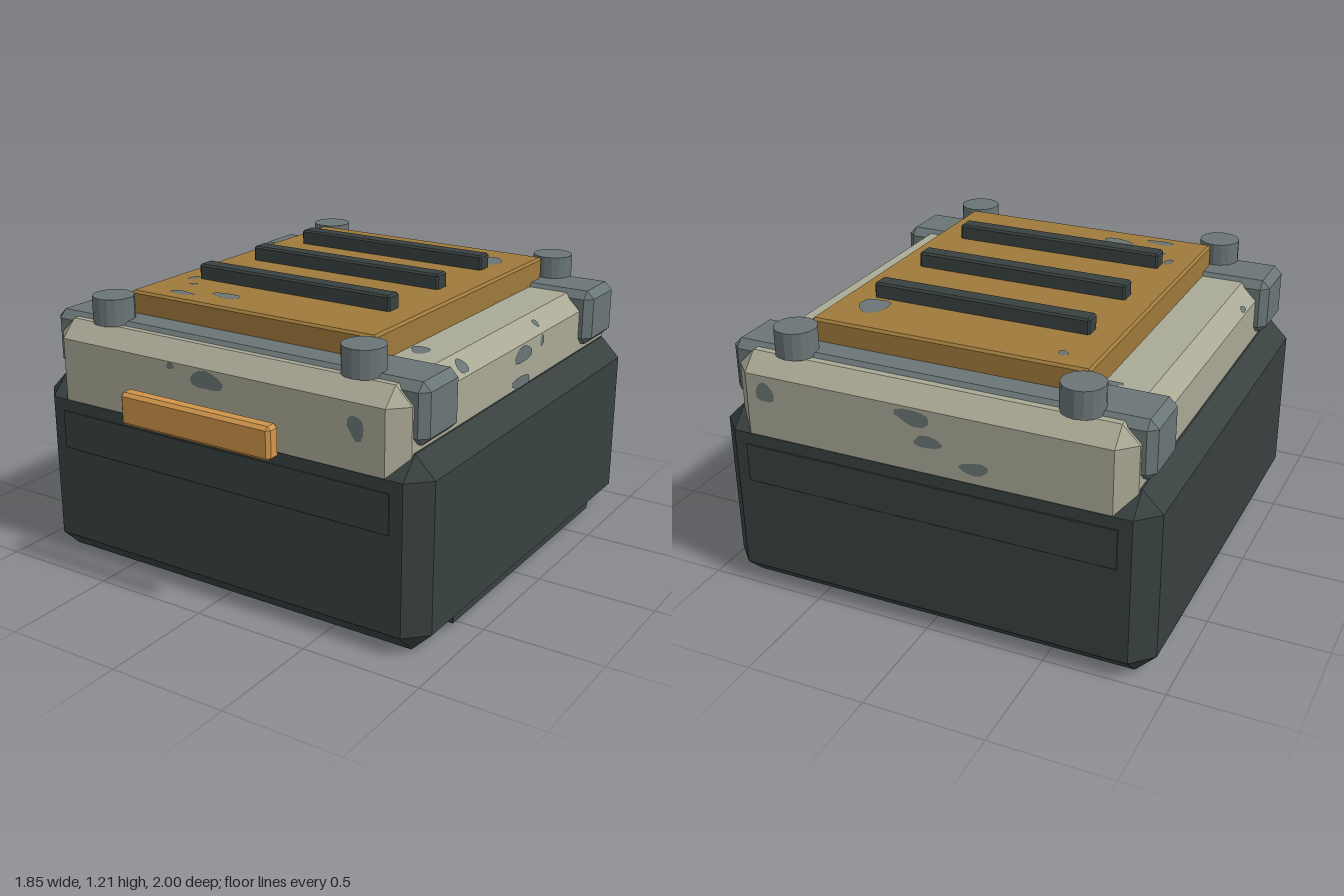
import * as THREE from 'three';
import { ConvexGeometry } from 'three/addons/geometries/ConvexGeometry.js';

const makeMat = (name, color, extra = {}) => {
  const m = new THREE.MeshStandardMaterial({ color, ...extra });
  m.name = name;
  return m;
};

// Box given by its limits, with all edges and corners chamfered by c
function chamferBox([x0, x1], [y0, y1], [z0, z1], c) {
  const w = (x1 - x0) / 2, h = (y1 - y0) / 2, d = (z1 - z0) / 2;
  const pts = [];
  for (const sx of [-1, 1]) for (const sy of [-1, 1]) for (const sz of [-1, 1]) {
    pts.push(new THREE.Vector3(sx * w, sy * (h - c), sz * (d - c)));
    pts.push(new THREE.Vector3(sx * (w - c), sy * h, sz * (d - c)));
    pts.push(new THREE.Vector3(sx * (w - c), sy * (h - c), sz * d));
  }
  return new ConvexGeometry(pts).translate((x0 + x1) / 2, (y0 + y1) / 2, (z0 + z1) / 2);
}

// Flat irregular blot with radii rx, ry, facing +z
function blot(rx, ry, seed) {
  const pts = [];
  for (let i = 0; i < 12; i++) {
    const a = (i / 12) * Math.PI * 2;
    const r = 0.93 + 0.13 * Math.sin(2 * a + seed * 1.7) + 0.1 * Math.sin(3 * a + seed * 2.9);
    pts.push(new THREE.Vector2(Math.cos(a) * rx * r, Math.sin(a) * ry * r));
  }
  return new THREE.ShapeGeometry(new THREE.Shape(pts));
}

export function createModel() {
  const model = new THREE.Group();
  model.name = 'crate';
  const charcoal = makeMat('charcoal', 0x384040);
  const cream = makeMat('weathered cream', 0xaaa996);
  const steel = makeMat('steel grey', 0x6a7576);
  const ochre = makeMat('dark ochre', 0x9e793b);
  const orange = makeMat('orange', 0xd0954a);

  const add = (name, geometry, material) => {
    const mesh = new THREE.Mesh(geometry, material);
    mesh.name = name;
    model.add(mesh);
    return mesh;
  };
  const box = (name, xs, ys, zs, c, material) => add(name, chamferBox(xs, ys, zs, c), material);

  // Lower body and lid
  box('body', [-0.927, 0.927], [0, 0.79], [-0.993, 0.867], 0.085, charcoal);
  box('lid', [-0.835, 0.835], [0.56, 1.04], [-0.992, 0.866], 0.07, cream);

  // Recess-style plates on front and back
  for (const [name, z] of [['frontPlate', 0.868], ['backPlate', -0.995]]) {
    box(name, [-0.788, 0.788], [0.49, 0.655], [z - 0.004, z + 0.004], 0.001, charcoal);
  }

  // Skid strips along the lower side edges
  for (const s of [-1, 1]) {
    box('skidStrip', [s * 0.89 - 0.018, s * 0.89 + 0.018], [0.034, 0.066], [-0.7, 0.58], 0.002, charcoal);
  }

  // Bands across the lid
  for (const z of [-0.778, 0.655]) {
    box('band', [-0.885, 0.885], [0.815, 1.056], [z - 0.132, z + 0.132], 0.033, steel);
  }

  // Corner bolts
  for (const x of [-0.597, 0.597]) for (const z of [-0.87, 0.738]) {
    const geo = new THREE.CylinderGeometry(0.086, 0.086, 0.112, 16).toNonIndexed();
    geo.computeVertexNormals();
    add('bolt', geo, steel).position.set(x, 1.094, z);
  }

  // Top hatch with three grip ribs
  box('hatch', [-0.585, 0.585], [1.03, 1.15], [-0.78, 0.645], 0.01, ochre);
  for (const z of [-0.455, -0.077, 0.308]) {
    box('rib', [-0.465, 0.465], [1.14, 1.213], [z - 0.039, z + 0.039], 0.008, charcoal);
  }

  // Front handle bar
  box('handle', [-0.356, 0.356], [0.72, 0.856], [0.933, 1], 0.014, orange);

  // Worn paint: each entry is u, v, radius u, radius v
  const E = 0.003;
  const faces = {
    front: {
      place: (m, u, v) => m.position.set(u, v, 0.866 + E),
      spots: [[-0.03, 0.925, 0.075, 0.045], [0.645, 0.875, 0.038, 0.05],
        [-0.205, 0.955, 0.022, 0.014], [-0.22, 0.712, 0.065, 0.018]],
    },
    back: {
      place: (m, u, v) => { m.position.set(u, v, -0.992 - E); m.rotation.y = Math.PI; },
      spots: [[0.68, 0.9, 0.04, 0.05], [0.03, 0.93, 0.08, 0.035],
        [-0.03, 0.84, 0.07, 0.025], [-0.22, 0.77, 0.06, 0.03]],
    },
    right: {
      place: (m, u, v) => { m.position.set(0.835 + E, v, u); m.rotation.y = Math.PI / 2; },
      spots: [[-0.09, 0.925, 0.075, 0.042], [-0.08, 0.81, 0.09, 0.03], [-0.265, 0.94, 0.02, 0.024]],
    },
    rightBevel: {
      place: (m, u, v) => {
        m.rotation.set(0, Math.PI / 2, 0);
        m.rotateX(-Math.PI / 4);
        m.position.set(1.805 - v + E, v + E, u);
      },
      spots: [[0.385, 1.0, 0.033, 0.04], [-0.265, 1.005, 0.02, 0.02]],
    },
    leftBevel: {
      place: (m, u, v) => {
        m.rotation.set(0, -Math.PI / 2, 0);
        m.rotateX(-Math.PI / 4);
        m.position.set(-1.805 + v - E, v + E, u);
      },
      spots: [[0.37, 0.985, 0.025, 0.018]],
    },
    lidTop: {
      place: (m, u, v) => { m.position.set(u, 1.04 + E, v); m.rotation.x = -Math.PI / 2; },
      spots: [[-0.62, -0.635, 0.04, 0.022], [0.64, 0.405, 0.045, 0.045]],
    },
    hatchTop: {
      place: (m, u, v) => { m.position.set(u, 1.15 + E, v); m.rotation.x = -Math.PI / 2; },
      spots: [[0.42, -0.58, 0.06, 0.085], [-0.44, -0.685, 0.024, 0.02], [-0.485, 0.36, 0.02, 0.03],
        [-0.425, 0.44, 0.018, 0.018], [-0.38, 0.57, 0.06, 0.026], [-0.195, 0.512, 0.08, 0.032]],
    },
  };
  for (const [face, { place, spots }] of Object.entries(faces)) {
    spots.forEach(([u, v, ru, rv], i) => place(add(`${face}WornPaint`, blot(ru, rv, i + 1), steel), u, v));
  }

  return model;
}
